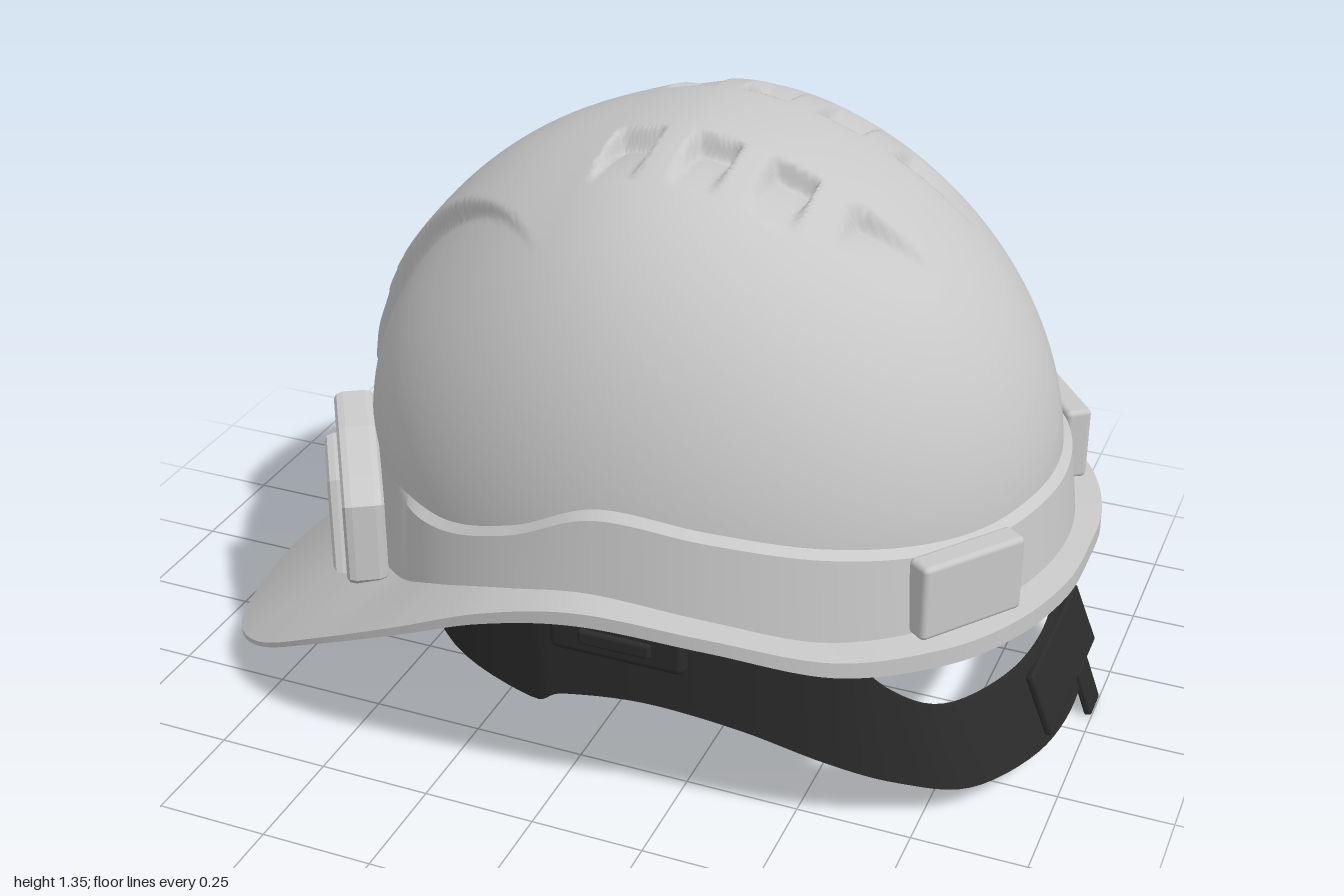
import * as THREE from 'three';
import { toCreasedNormals } from 'three/addons/utils/BufferGeometryUtils.js';
import { RoundedBoxGeometry } from 'three/addons/geometries/RoundedBoxGeometry.js';

const V = (x, y, z) => new THREE.Vector3(x, y, z);
const smooth = THREE.MathUtils.smoothstep;
const CX = 0.1; // dome axis

// Skin rows of points that run from top to bottom, closed around
function loft(rows, crease) {
  const n = rows[0].length, idx = [];
  for (let j = 0; j < rows.length - 1; j++) {
    for (let i = 0; i < n; i++) {
      const a = j * n + i, b = j * n + (i + 1) % n;
      idx.push(a, b, a + n, b, b + n, a + n);
    }
  }
  const g = new THREE.BufferGeometry().setFromPoints(rows.flat());
  g.setIndex(idx);
  g.computeVertexNormals();
  return toCreasedNormals(g, crease);
}

// Closed smooth curve through half a ring (back to front) and its mirror image
function ring(half, pick, mirrorZ) {
  const pts = half.map(pick);
  const back = pts.slice(1, -1).reverse().map(p => V(p.x, p.y, mirrorZ ? -p.z : p.z));
  return new THREE.CatmullRomCurve3([...pts, ...back], true, 'catmullrom', 0.5);
}

function sample(curve, n) {
  return Array.from({ length: n }, (_, i) => curve.getPoint(i / n));
}

// Rim edge x, y, z, then height of band top, height of band foot, rim thickness
const RIM = [
  [0.97, 0.48, 0, 0.645, 0.485, 0.04], [0.96, 0.478, 0.16, 0.645, 0.485, 0.04],
  [0.9, 0.472, 0.33, 0.64, 0.48, 0.04], [0.79, 0.468, 0.48, 0.65, 0.475, 0.04],
  [0.61, 0.483, 0.63, 0.675, 0.485, 0.035], [0.38, 0.537, 0.725, 0.71, 0.535, 0.03],
  [0.12, 0.555, 0.76, 0.73, 0.56, 0.03], [-0.1, 0.495, 0.75, 0.645, 0.52, 0.025],
  [-0.32, 0.385, 0.715, 0.585, 0.45, 0.02], [-0.55, 0.262, 0.655, 0.575, 0.37, 0.015],
  [-0.76, 0.135, 0.555, 0.57, 0.345, 0.012], [-0.9, 0.065, 0.42, 0.57, 0.34, 0.012],
  [-0.975, 0.035, 0.22, 0.57, 0.335, 0.012], [-1, 0.03, 0, 0.57, 0.335, 0.012],
];

// Head ring x, z, lower y, upper y, outward lean at the bottom
const STRAP = [
  [0.9, 0, 0.07, 0.245, 0.07], [0.87, 0.2, 0.065, 0.245, 0.07], [0.78, 0.38, 0.07, 0.26, 0.06],
  [0.68, 0.48, 0.115, 0.34, 0.03], [0.57, 0.55, 0.175, 0.48, 0.01], [0.4, 0.6, 0.245, 0.52, 0],
  [0.2, 0.625, 0.275, 0.51, 0], [0.02, 0.625, 0.25, 0.5, 0], [-0.06, 0.615, 0.215, 0.48, 0],
  [-0.28, 0.53, 0.235, 0.46, 0], [-0.45, 0.36, 0.29, 0.45, 0], [-0.53, 0.18, 0.305, 0.45, 0],
  [-0.55, 0, 0.305, 0.45, 0],
];

// Plan radius of the dome in direction phi, at s radians down from the crown
function domeRadius(phi, s) {
  const c = Math.cos(phi), q = Math.sin(s);
  const a = c < 0 ? 0.765 * q ** (1.15 + 0.3 * smooth(s, 0.3, 1.1)) : 0.785 * q ** 1.1;
  const b = 0.662 * q ** 0.8;
  return q < 1e-6 ? 0 : 1 / Math.hypot(c / a, Math.sin(phi) / b);
}

// Raised front ridge and sunken vents
function sculpt(p) {
  const { x, y, z } = p, az = Math.abs(z), e = 0.02;
  const u = Math.max(0, x + 0.7), w = 0.04 + 0.3 * u + 0.6 * u * u;
  const ridge = (1 - smooth(az, w - 0.012, w + 0.012)) * (1 - smooth(x, -0.45, -0.08)) * smooth(y, 0.595, 0.62);
  if (ridge > 0) {
    const h = 0.04 + 0.015 * (1 - smooth(y, 0.6, 0.78));
    p.addScaledVector(V(x - CX, y - 0.6, z).normalize(), ridge * h);
  }
  const wall = smooth(az, 0.125, 0.125 + e);
  for (const cx of [0, 0.17, 0.335]) {
    const across = 1 - smooth(Math.abs(x - cx), 0.055 - e, 0.055);
    p.y -= 0.055 * across * wall * Math.max(0, (0.31 - az) / 0.18);
  }
  const taper = smooth(x, 0.455, 0.455 + e) * Math.max(0, 1 - Math.max(0, x - 0.46) / 0.19);
  p.y -= 0.055 * taper * wall * Math.max(0, (0.27 - az) / 0.13);
  return p;
}

function polygon(points, flip) {
  return new THREE.Shape(points.map(([x, y]) => new THREE.Vector2(x * flip, y)));
}

export function createModel() {
  const model = new THREE.Group();
  const shellGrey = new THREE.MeshStandardMaterial({ color: 0xc8c8c8 });
  shellGrey.name = 'shellGrey';
  const strapBlack = new THREE.MeshStandardMaterial({ color: 0x2b2b2b });
  strapBlack.name = 'strapBlack';
  const add = (name, geo, mat, parent = model) => {
    const m = new THREE.Mesh(geo, mat);
    m.name = name;
    parent.add(m);
    return m;
  };

  // Stations around the rim drive every row of the shell
  const N = 260;
  const edge = sample(ring(RIM, r => V(r[0], r[1], r[2]), true), N);
  const info = sample(ring(RIM, r => V(r[3], r[4], r[5]), false), N);
  const stations = edge.map((p, i) => {
    const phi = Math.atan2(p.z, p.x - CX), top = info[i].x;
    const end = Math.acos((top - 0.6) / 0.75);
    return { p, phi, top, base: info[i].y, thick: info[i].z, end, r: domeRadius(phi, end) };
  });
  const at = (st, r, y) => V(CX + r * Math.cos(st.phi), y, r * Math.sin(st.phi));
  const row = f => stations.map(f);

  // Dome skin, shrunk by a scale and lowered by a drop at the crown
  const skin = (count, scale, drop) => Array.from({ length: count + 1 }, (_, j) => row(st => {
    const s = st.end * j / count;
    return sculpt(at(st, scale * domeRadius(st.phi, s), 0.6 + (0.75 - drop) * Math.cos(s)));
  }));
  add('dome', loft(skin(140, 1, 0), 1.3), shellGrey);
  add('innerShell', loft(skin(60, 0.965, 0.025).reverse(), 1.3), shellGrey);

  // Side band, rim and visor in one sweep, returning underneath
  const step = st => 0.02 * smooth(st.p.x, -0.65, -0.4);
  const foot = st => st.r + 0.02 + 0.018 * smooth(st.p.x, -0.65, -0.3);
  const band = [
    row(st => at(st, st.r, st.top + 0.005)),
    row(st => at(st, st.r + step(st), st.top - 0.01)),
    row(st => at(st, foot(st), st.base)),
    row(st => st.p.clone()),
    row(st => V(st.p.x, st.p.y - st.thick, st.p.z)),
    row(st => at(st, foot(st) - 0.02, st.base - 0.02)),
    row(st => at(st, st.r * 0.965, st.top)),
  ];
  add('bandAndVisor', loft(band, 0.6), shellGrey);

  // Accessory mounts at the front corners and tabs at the rear corners
  const mount = [[-0.16, 0.46], [-0.165, 0.6], [-0.13, 0.635], [0, 0.62], [0.14, 0.575],
    [0.19, 0.54], [0.19, 0.37], [0.12, 0.32], [-0.04, 0.32]];
  const plate = [[-0.09, 0.42], [-0.08, 0.555], [0.08, 0.54], [0.13, 0.36], [-0.01, 0.345]];
  for (const side of [1, -1]) {
    const clip = new THREE.Group();
    clip.name = side > 0 ? 'leftFrontMount' : 'rightFrontMount';
    clip.position.set(-0.63, 0, 0.4 * side);
    clip.rotation.y = Math.atan2(-0.85, 0.52 * side);
    model.add(clip);
    const bevel = { bevelSize: 0.014, bevelThickness: 0.02, bevelSegments: 2 };
    const body = add('mountBody', new THREE.ExtrudeGeometry(polygon(mount, side), { ...bevel, depth: 0.05 }), shellGrey, clip);
    body.position.z = -0.08;
    const face = add('mountFace', new THREE.ExtrudeGeometry(polygon(plate, side), { ...bevel, depth: 0.01 }), shellGrey, clip);
    face.position.z = -0.012;

    const tab = add('rearTab', new RoundedBoxGeometry(0.25, 0.17, 0.06, 2, 0.012), shellGrey);
    tab.position.set(0.797, 0.56, 0.37 * side);
    tab.rotation.y = Math.atan2(0.8, 0.6 * side);

    // Side lug of the head ring with a slotted centre
    const lug = add('strapLug', new RoundedBoxGeometry(0.3, 0.1, 0.04, 3, 0.018), strapBlack);
    lug.position.set(0.15, 0.425, 0.63 * side);
    const slot = add('lugSlot', new RoundedBoxGeometry(0.16, 0.035, 0.02, 2, 0.008), strapBlack);
    slot.position.set(0.15, 0.425, 0.65 * side);
  }

  // Head ring that dips into the nape strap
  const M = 144;
  const plan = sample(ring(STRAP, r => V(r[0], r[4], r[1]), true), M);
  const high = sample(ring(STRAP, r => V(r[2], r[3], 0), false), M);
  const strapRow = (k, low) => plan.map((p, i) => V(
    0.2 + (p.x + (low ? p.y : 0) - 0.2) * k, low ? high[i].x : high[i].y, p.z * k));
  add('headRing', loft([strapRow(1, false), strapRow(1, true), strapRow(0.98, true),
    strapRow(0.98, false), strapRow(1, false)], 0.6), strapBlack);

  // Nape adjuster and its pull tail
  const adjuster = add('napeAdjuster', new RoundedBoxGeometry(0.02, 0.15, 0.4, 2, 0.008), strapBlack);
  adjuster.position.set(0.927, 0.16, -0.03);
  adjuster.rotation.z = 0.38;
  const tail = add('pullTail', new RoundedBoxGeometry(0.018, 0.11, 0.08, 2, 0.006), strapBlack);
  tail.position.set(0.974, 0.053, -0.1);
  tail.rotation.z = 0.35;

  return model;
}
